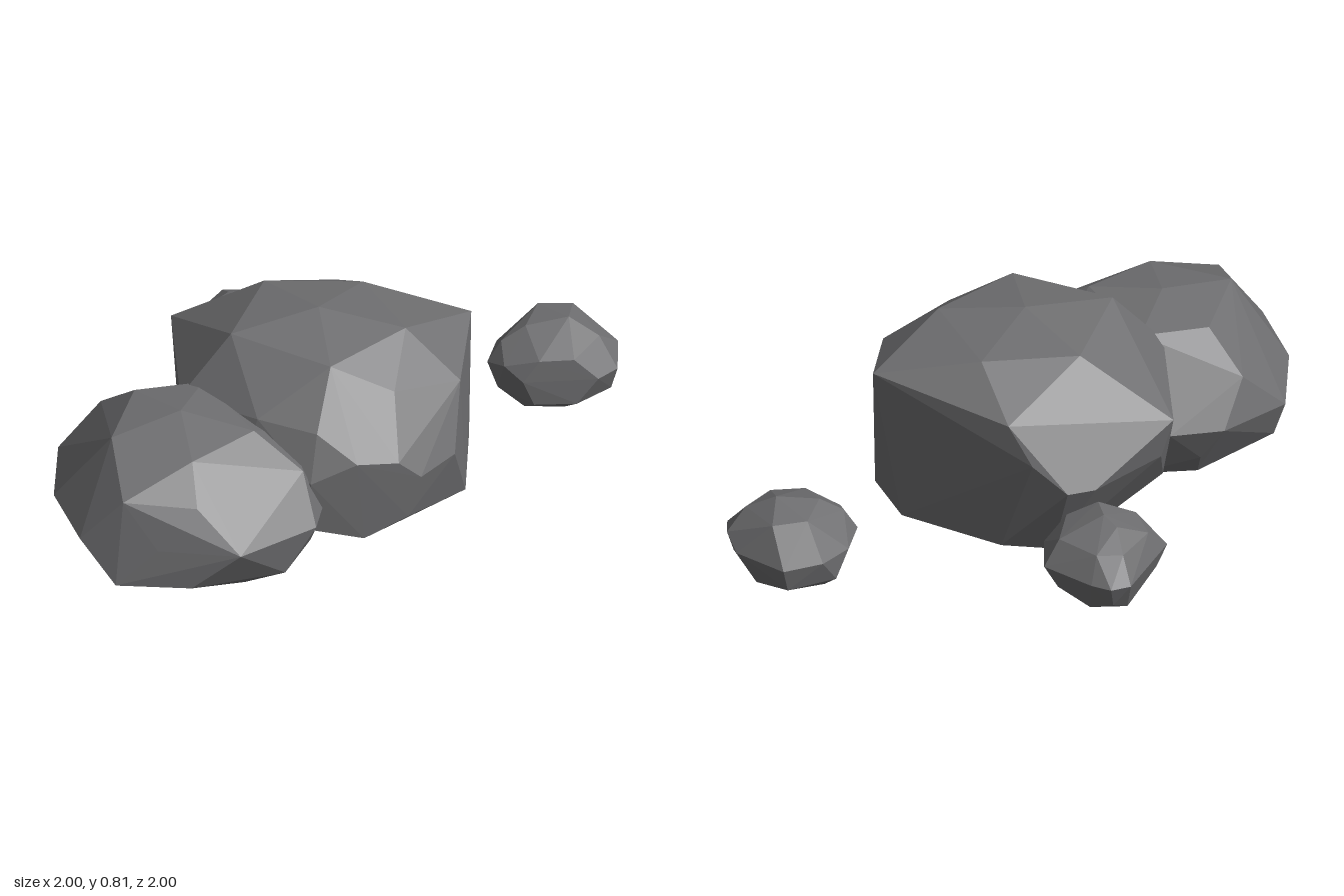
import * as THREE from 'three';
import { ConvexGeometry } from 'three/addons/geometries/ConvexGeometry.js';

const stone = new THREE.MeshStandardMaterial({ color: 0x6f6f71, flatShading: true });
stone.name = 'grey stone';

// A faceted rock: rings of corners, each [y, ...[x, z, own y if it differs]], wrapped in a convex skin
function rock(name, rings) {
  const corners = [];
  for (const [y, ...ring] of rings) {
    for (const [x, z, ownY = y] of ring) corners.push(new THREE.Vector3(x, ownY, z));
  }
  const mesh = new THREE.Mesh(new ConvexGeometry(corners), stone);
  mesh.name = name;
  return mesh;
}

export function createModel() {
  const group = new THREE.Group();
  group.name = 'rockCluster';

  group.add(
    // Tall boulder with a flat back and a sharp back corner
    rock('largeBoulder', [
      [0, [-0.46, 0.04], [-0.3, 0.2], [-0.05, 0.29], [0.17, 0.33], [0.35, 0.17], [0.42, -0.02], [0.39, -0.28], [-0.02, -0.42], [-0.22, -0.41], [-0.36, -0.2]],
      [0.1, [0.54, 0.07, 0.07], [0.5, -0.24, 0.12], [0.38, 0.44, 0.17], [0.22, 0.5, 0.09], [0, 0.58, 0.16], [-0.3, 0.42], [-0.575, 0.02]],
      [0.35, [0.53, 0.25], [0.43, 0.43], [0.03, 0.6, 0.38], [-0.24, 0.5, 0.43], [-0.61, -0.23], [-0.3, -0.55], [-0.4, -0.5]],
      [0.45, [0.2, 0.54], [0.35, 0.47, 0.43], [-0.16, -0.53]],
      [0.57, [0.52, 0.07], [-0.2, 0.47], [0.04, 0.52, 0.56], [-0.53, 0.3, 0.53], [-0.66, -0.24, 0.53], [-0.06, -0.49, 0.6]],
      [0.65, [0.5, -0.29], [0.3, 0.28, 0.63]],
      [0.76, [0.3, 0.03], [0.08, -0.28, 0.745], [-0.29, -0.2], [-0.35, 0.2, 0.77], [0.06, 0.33, 0.75], [-0.04, 0.02, 0.812]],
    ]),
    // Lower boulder leaning against the front
    rock('frontBoulder', [
      [0.005, [-0.74, 0.5], [-0.7, 0.72], [-0.5, 0.79], [-0.2, 0.75], [-0.16, 0.63], [-0.1, 0.4], [-0.45, 0.14], [-0.68, 0.2]],
      [0.1, [-0.95, 0.36], [-0.66, 1], [-0.37, 0.97], [-0.7, 0.15], [-0.04, 0.77, 0.08], [0.03, 0.6, 0.13]],
      [0.26, [-1, 0.33], [-0.96, 0.66], [-0.81, 0.94], [-0.5, 0.975], [-0.18, 0.96], [0.07, 0.71], [0.07, 0.55], [-0.8, 0.11], [-0.6, 0.04]],
      [0.43, [-0.64, 0.95, 0.45], [-0.36, 0.9, 0.42], [0, 0.6, 0.44], [-0.85, 0.24], [-0.1, 0.3]],
      [0.57, [-0.73, 0.69], [-0.7, 0.35], [-0.2, 0.55], [-0.49, 0.52, 0.612], [-0.4, 0.78, 0.555], [-0.45, 0.25]],
    ]),
    // Small loose rock standing apart
    rock('farPebble', [
      [0.02, [0.58, -0.68], [0.6, -0.82], [0.72, -0.88], [0.86, -0.85], [0.87, -0.7], [0.8, -0.63], [0.65, -0.61]],
      [0.07, [0.54, -0.65], [0.72, -0.96], [0.97, -0.72], [0.86, -0.585], [0.7, -0.55], [0.55, -0.85]],
      [0.18, [0.5, -0.65], [0.51, -0.8], [0.59, -0.92], [0.73, -1], [0.93, -0.9], [1, -0.69], [0.94, -0.605], [0.66, -0.53]],
      [0.27, [0.55, -0.67], [0.58, -0.57, 0.22], [0.72, -0.55], [0.85, -0.585], [0.92, -0.74, 0.29], [0.98, -0.82, 0.22]],
      [0.33, [0.64, -0.7], [0.66, -0.86], [0.79, -0.9, 0.32], [0.8, -0.75, 0.357]],
    ]),
    // Small rock tucked behind the large boulder
    rock('backPebble', [
      [0.02, [-0.6, -0.62], [-0.57, -0.78], [-0.43, -0.81], [-0.33, -0.72], [-0.34, -0.58], [-0.48, -0.52]],
      [0.08, [-0.65, -0.58], [-0.53, -0.87], [-0.3, -0.78], [-0.26, -0.62], [-0.45, -0.47]],
      [0.18, [-0.69, -0.57], [-0.6, -0.88], [-0.53, -0.92], [-0.45, -0.9], [-0.25, -0.8], [-0.22, -0.63], [-0.27, -0.55], [-0.47, -0.43], [-0.56, -0.44]],
      [0.28, [-0.63, -0.65], [-0.56, -0.82], [-0.46, -0.84], [-0.3, -0.75], [-0.3, -0.58], [-0.56, -0.52]],
      [0.34, [-0.52, -0.72], [-0.42, -0.56], [-0.46, -0.67, 0.357]],
    ]),
  );
  return group;
}
